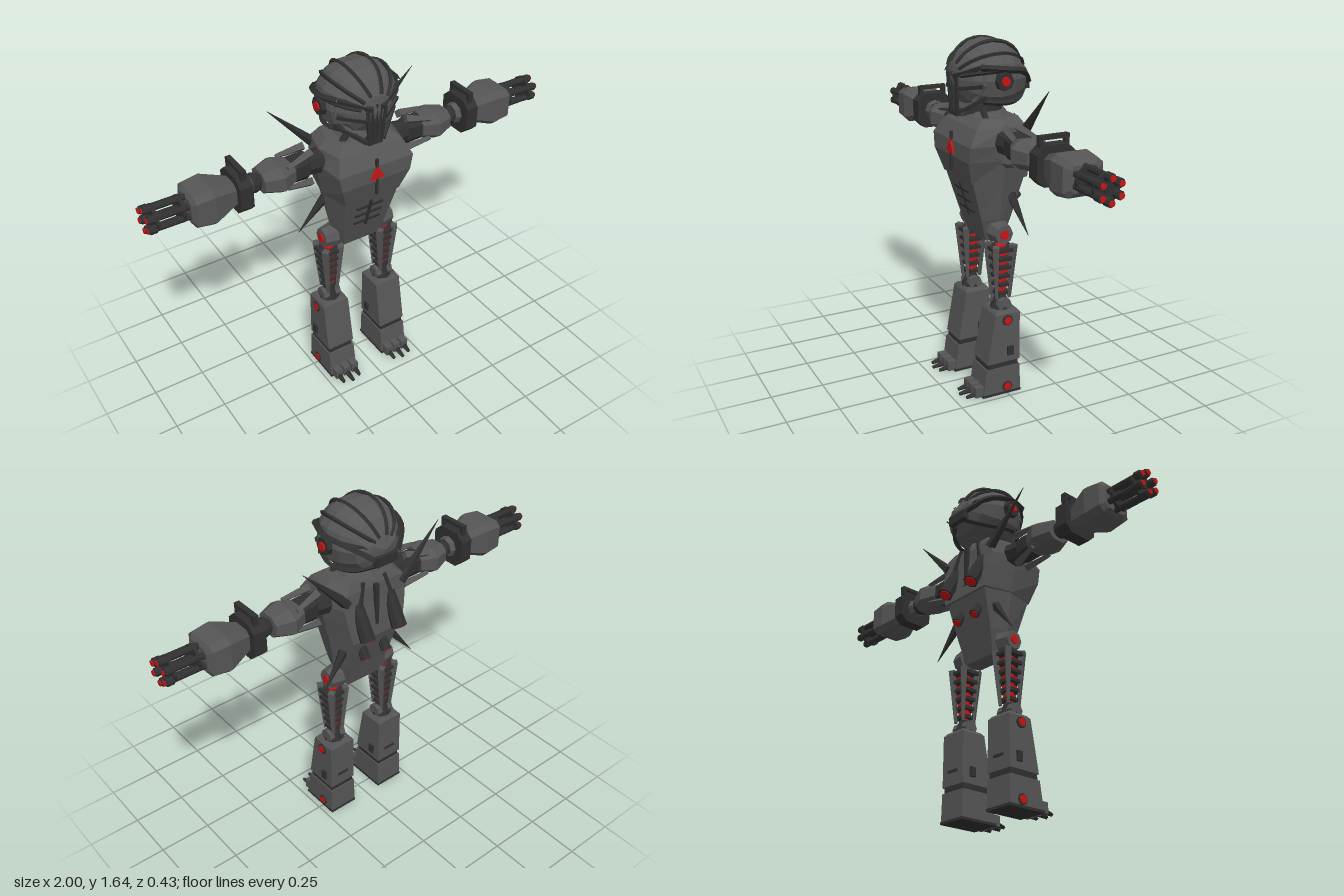
import * as THREE from 'three';

const mat = (color) => new THREE.MeshStandardMaterial({ color, flatShading: true });
const V = (x, y, z) => new THREE.Vector3(x, y, z);

export function createModel() {
  const root = new THREE.Group();
  const body = mat(0x555555), trim = mat(0x303030), red = mat(0xc81414);

  const add = (parent, name, geo, material, x = 0, y = 0, z = 0) => {
    const m = new THREE.Mesh(geo, material);
    m.name = name;
    m.position.set(x, y, z);
    parent.add(m);
    return m;
  };
  const group = (name, parent = root) => {
    const g = new THREE.Group();
    g.name = name;
    parent.add(g);
    return g;
  };
  const box = (p, name, m, w, h, d, x, y, z) => add(p, name, new THREE.BoxGeometry(w, h, d), m, x, y, z);
  const cyl = (p, name, m, r0, r1, h, n, x, y, z) => add(p, name, new THREE.CylinderGeometry(r1, r0, h, n), m, x, y, z);
  // tapered rod from a to b
  const rod = (p, name, m, a, b, r0, r1, n = 6) => {
    const d = b.clone().sub(a);
    const mid = a.clone().add(b).multiplyScalar(0.5);
    const mesh = cyl(p, name, m, r0, r1, d.length(), n, mid.x, mid.y, mid.z);
    mesh.quaternion.setFromUnitVectors(V(0, 1, 0), d.normalize());
    return mesh;
  };
  // rings run counterclockwise seen from above, listed bottom to top
  const loft = (rings) => {
    const n = rings[0].length, pos = [];
    const tri = (...ps) => ps.forEach((p) => pos.push(p.x, p.y, p.z));
    for (let k = 0; k + 1 < rings.length; k++) {
      for (let i = 0; i < n; i++) {
        const j = (i + 1) % n, lo = rings[k], hi = rings[k + 1];
        tri(lo[i], lo[j], hi[j]);
        tri(lo[i], hi[j], hi[i]);
      }
    }
    const bot = rings[0], top = rings[rings.length - 1];
    for (let i = 1; i + 1 < n; i++) {
      tri(top[0], top[i], top[i + 1]);
      tri(bot[0], bot[i + 1], bot[i]);
    }
    const g = new THREE.BufferGeometry();
    g.setAttribute('position', new THREE.Float32BufferAttribute(pos, 3));
    g.computeVertexNormals();
    return g;
  };
  // six-sided section: front width, side width, back width, front z, back z
  const hexRing = ([y, f, s, b, zf, zb]) =>
    [V(f, y, zf), V(s, y, 0), V(b, y, zb), V(-b, y, zb), V(-s, y, 0), V(-f, y, zf)];
  const rectRing = ([y, w, zf, zb]) => [V(w, y, zf), V(w, y, zb), V(-w, y, zb), V(-w, y, zf)];
  // octagonal section with chamfered corners
  const octRing = ([y, w, d, c = 0.5]) =>
    [[c, 1], [1, c], [1, -c], [c, -1], [-c, -1], [-1, -c], [-1, c], [-c, 1]].map(([a, b]) => V(a * w, y, b * d));

  // Torso
  const torso = group('torso');
  add(torso, 'abdomen', loft([[0.73, 0.09, 0.11, 0.09, 0.045, -0.045], [0.84, 0.115, 0.14, 0.11, 0.08, -0.075],
    [1.03, 0.14, 0.17, 0.13, 0.135, -0.13]].map(hexRing)), body);
  add(torso, 'chest', loft([[1.025, 0.14, 0.175, 0.14, 0.142, -0.14], [1.13, 0.175, 0.195, 0.16, 0.173, -0.13],
    [1.2, 0.19, 0.205, 0.17, 0.17, -0.12], [1.27, 0.16, 0.19, 0.16, 0.125, -0.115],
    [1.305, 0.12, 0.15, 0.12, 0.08, -0.1]].map(hexRing)), body);
  box(torso, 'chestSeam', trim, 0.012, 0.18, 0.012, 0, 1.15, 0.171);
  const emblem = cyl(torso, 'chestLight', red, 0.042, 0.042, 0.02, 3, 0, 1.165, 0.17);
  emblem.rotation.set(-Math.PI / 2, 0, 0);
  const grille = group('bellyGrille', torso);
  grille.position.set(0, 0.92, 0.105);
  grille.rotation.x = 0.28;
  box(grille, 'grilleSpine', trim, 0.012, 0.17, 0.012, 0, 0, 0);
  [-0.05, 0, 0.05].forEach((y) => box(grille, 'grilleBar', trim, 0.14, 0.011, 0.012, 0, y, 0));
  box(torso, 'backSeam', trim, 0.02, 0.24, 0.02, 0, 1.16, -0.125);
  cyl(torso, 'neck', trim, 0.08, 0.07, 0.1, 10, 0, 1.32, 0);
  cyl(torso, 'collar', body, 0.11, 0.09, 0.03, 10, 0, 1.31, 0);

  for (const s of [1, -1]) {
    // Back exhausts and spikes
    const exhaust = (x, a, b, r) => {
      rod(torso, 'exhaust', trim, V(s * x, ...a), V(s * x, ...b), r * 0.8, r, 8);
      const end = V(s * x, ...b), dir = end.clone().sub(V(s * x, ...a)).normalize();
      rod(torso, 'exhaustGlow', red, end, end.clone().addScaledVector(dir, 0.004), r * 0.75, r * 0.75, 8);
    };
    exhaust(0.09, [1.2, -0.1], [1.05, -0.18], 0.036);
    exhaust(0.06, [0.985, -0.085], [0.91, -0.13], 0.025);
    rod(torso, 'upperSpike', trim, V(s * 0.15, 1.23, -0.11), V(s * 0.37, 1.455, -0.105), 0.026, 0.001, 5);
    rod(torso, 'lowerSpike', trim, V(s * 0.13, 0.95, -0.06), V(s * 0.26, 0.79, -0.08), 0.024, 0.001, 5);
    rod(torso, 'backPanel', trim, V(s * 0.06, 1.3, -0.105), V(s * 0.1, 1.16, -0.13), 0.012, 0.012, 4);
  }

  // Head: faceted dome with its poles at front and back
  const head = group('head');
  head.position.set(0, 1.475, 0);
  const dome = new THREE.SphereGeometry(1, 14, 8);
  dome.rotateX(Math.PI / 2);
  dome.scale(0.178, 0.167, 0.17);
  const dp = dome.attributes.position;
  for (let i = 0; i < dp.count; i++) {
    const y = dp.getY(i);
    if (y < -0.1) dp.setY(i, -0.1 + (y + 0.1) * 0.6);
    if (y < 0.03 && dp.getZ(i) < -0.1) dp.setZ(i, dp.getZ(i) - 0.015);
  }
  add(head, 'dome', dome, body);
  for (const a of [-75, -48, -20, 20, 48, 75]) {
    const phi = THREE.MathUtils.degToRad(a), pts = [];
    for (let k = 0; k <= 8; k++) {
      const t = 0.42 + k * 0.3;
      pts.push(V(0.181 * Math.sin(phi) * Math.sin(t), 0.168 * Math.cos(phi) * Math.sin(t), 0.172 * Math.cos(t)));
    }
    add(head, 'domeRib', new THREE.TubeGeometry(new THREE.CatmullRomCurve3(pts), 12, 0.009, 4), trim);
  }
  // Face mask
  const mask = new THREE.Shape([[-0.15, 0.05], [-0.155, -0.02], [-0.1, -0.11], [-0.04, -0.16], [0.04, -0.16],
    [0.1, -0.11], [0.155, -0.02], [0.15, 0.05], [0.05, 0.02], [-0.05, 0.02]].map((p) => new THREE.Vector2(...p)));
  const maskGeo = new THREE.ExtrudeGeometry(mask, { depth: 0.09, bevelEnabled: false });
  const mp = maskGeo.attributes.position;
  for (let i = 0; i < mp.count; i++) mp.setZ(i, mp.getZ(i) + 0.07 - Math.abs(mp.getX(i)) * 0.5);
  add(head, 'faceMask', maskGeo, body);
  for (let i = -2; i <= 2; i++) {
    rod(head, 'mouthBar', trim, V(i * 0.022, 0.03 - Math.abs(i) * 0.012, 0.16), V(i * 0.015, -0.155, 0.155), 0.011, 0.008, 4);
  }
  box(head, 'chin', trim, 0.07, 0.03, 0.05, 0, -0.15, 0.135);
  for (const s of [1, -1]) {
    const eye = box(head, 'eye', red, 0.045, 0.022, 0.02, s * 0.07, 0.003, 0.133);
    eye.rotation.set(0, s * 0.45, s * 0.3);
    rod(head, 'brow', trim, V(s * 0.025, 0.012, 0.168), V(s * 0.15, 0.06, 0.1), 0.014, 0.012, 4);
    rod(head, 'cheekBar', trim, V(s * 0.045, -0.04, 0.162), V(s * 0.15, -0.02, 0.09), 0.012, 0.012, 4);
    rod(head, 'jawBar', trim, V(s * 0.04, -0.15, 0.155), V(s * 0.15, -0.07, 0.07), 0.012, 0.012, 4);
    const band = [[0.15, 0.06, 0.1], [0.18, 0.05, 0], [0.145, 0.03, -0.11], [0.06, -0.03, -0.185]];
    const curve = new THREE.CatmullRomCurve3(band.map(([x, y, z]) => V(s * x, y, z)));
    add(head, 'sideBand', new THREE.TubeGeometry(curve, 10, 0.015, 4), trim);
    const low = [[0.13, -0.09, 0.08], [0.15, -0.1, 0], [0.11, -0.1, -0.1], [0.04, -0.07, -0.17]];
    const lowCurve = new THREE.CatmullRomCurve3(low.map(([x, y, z]) => V(s * x, y, z)));
    add(head, 'lowerBand', new THREE.TubeGeometry(lowCurve, 10, 0.012, 4), trim);
    rod(head, 'earDisc', trim, V(s * 0.15, 0, 0), V(s * 0.19, 0, 0), 0.045, 0.04, 8);
    rod(head, 'earLight', red, V(s * 0.18, 0, 0), V(s * 0.197, 0, 0), 0.024, 0.02, 8);
    rod(head, 'neckCable', trim, V(s * 0.05, -0.11, 0.05), V(s * 0.11, -0.19, 0.05), 0.016, 0.016, 6);
  }
  box(head, 'rearClasp', trim, 0.11, 0.045, 0.03, 0, -0.045, -0.18);

  // Arms: built along local y, which points outward
  for (const s of [1, -1]) {
    const mount = group(s > 0 ? 'leftArm' : 'rightArm');
    mount.position.set(0, 1.21, 0);
    mount.rotation.y = s > 0 ? 0 : Math.PI;
    const arm = group('armParts', mount);
    arm.rotation.z = -Math.PI / 2;
    cyl(arm, 'shoulderJoint', trim, 0.06, 0.05, 0.08, 8, 0, 0.215, 0);
    add(arm, 'shoulder', loft([[0.23, 0.035, 0.035], [0.26, 0.06, 0.045], [0.34, 0.055, 0.05]].map((r) => octRing(r))), trim);
    for (const [x, z] of [[1, 0.6], [1, -0.6], [-1, 0.6], [-1, -0.6]]) {
      rod(arm, 'shoulderFin', body, V(x * 0.075, 0.245, z * 0.05), V(x * 0.05, 0.37, z * 0.09), 0.022, 0.012, 4);
    }
    add(arm, 'upperArm', loft([[0.33, 0.05, 0.055], [0.4, 0.064, 0.09], [0.48, 0.048, 0.06]].map((r) => octRing(r))), body);
    add(arm, 'elbow', new THREE.SphereGeometry(0.045, 10, 6), trim, 0, 0.51, 0);
    cyl(arm, 'elbowSleeve', body, 0.045, 0.06, 0.06, 8, 0, 0.555, 0);
    add(arm, 'forearmClamp', loft([[0.55, 0.085, 0.09, 0.6], [0.61, 0.085, 0.09, 0.6]].map(octRing)), trim);
    for (const z of [-0.06, 0.06]) box(arm, 'handlePost', trim, 0.04, 0.025, 0.018, -0.095, 0.58, z);
    box(arm, 'handleBar', trim, 0.018, 0.025, 0.14, -0.113, 0.58, 0);
    add(arm, 'forearm', loft([[0.6, 0.05, 0.055, 0.6], [0.72, 0.086, 0.095, 0.7], [0.8, 0.075, 0.09, 0.7],
      [0.815, 0.055, 0.065, 0.7]].map(octRing)), body);
    // Rotary barrels
    cyl(arm, 'barrelShaft', trim, 0.018, 0.018, 0.17, 8, 0, 0.885, 0);
    for (const y of [0.84, 0.955]) cyl(arm, 'barrelPlate', trim, 0.06, 0.06, 0.014, 12, 0, y, 0);
    for (let i = 0; i < 6; i++) {
      const a = i * Math.PI / 3, x = 0.048 * Math.cos(a), z = 0.048 * Math.sin(a);
      cyl(arm, 'barrel', trim, 0.014, 0.014, 0.2, 8, x, 0.896, z);
      cyl(arm, 'muzzle', trim, 0.019, 0.019, 0.03, 8, x, 0.975, z);
      cyl(arm, 'muzzleGlow', red, 0.013, 0.013, 0.012, 8, x, 0.994, z);
    }
  }

  // Legs
  for (const s of [1, -1]) {
    const leg = group(s > 0 ? 'leftLeg' : 'rightLeg');
    leg.position.x = s * 0.15;
    add(leg, 'hipBall', new THREE.SphereGeometry(0.045, 8, 6), trim, -s * 0.01, 0.78, 0);
    rod(leg, 'hipDisc', body, V(-s * 0.03, 0.78, 0), V(s * 0.035, 0.78, 0), 0.058, 0.045, 8);
    rod(leg, 'hipLight', red, V(0, 0.78, 0), V(s * 0.041, 0.78, 0), 0.025, 0.022, 8);
    cyl(leg, 'thighCore', red, 0.02, 0.026, 0.25, 8, 0, 0.6, 0);
    for (const x of [-1, 1]) for (const z of [-1, 1]) {
      rod(leg, 'thighStrut', body, V(x * 0.04, 0.73, z * 0.044), V(x * 0.025, 0.47, z * 0.032), 0.021, 0.009, 4);
    }
    for (let i = 0; i < 6; i++) {
      const k = 1 - i * 0.08, y = 0.71 - i * 0.043;
      box(leg, 'thighRib', trim, 0.115 * k, 0.016, 0.07 * k, 0, y, 0);
      box(leg, 'thighRibCross', trim, 0.05 * k, 0.016, 0.11 * k, 0, y, 0);
      if (i > 0) box(leg, 'thighGlow', red, 0.062 * k, 0.013, 0.075 * k, 0, y + 0.02, 0);
    }
    cyl(leg, 'kneeCap', trim, 0.055, 0.025, 0.07, 8, 0, 0.445, 0);
    rod(leg, 'kneePin', body, V(-0.045, 0.44, 0), V(0.045, 0.44, 0), 0.035, 0.035, 8);

    add(leg, 'shin', loft([[0.165, 0.07, 0.102, -0.066], [0.405, 0.068, 0.06, -0.066],
      [0.42, 0.055, 0.05, -0.055]].map(rectRing)), body);
    add(leg, 'ankle', loft([[0.13, 0.064, 0.1, -0.06], [0.17, 0.064, 0.095, -0.06]].map(rectRing)), trim);
    add(leg, 'boot', loft([[0.005, 0.072, 0.125, -0.07], [0.138, 0.07, 0.106, -0.067]].map(rectRing)), body);
    box(leg, 'sole', trim, 0.148, 0.012, 0.2, 0, 0.006, 0.028);
    for (const y of [0.375, 0.037]) {
      rod(leg, 'legLightRim', trim, V(s * 0.06, y, 0), V(s * 0.076, y, 0), 0.028, 0.026, 8);
      rod(leg, 'legLight', red, V(s * 0.06, y, 0), V(s * 0.08, y, 0), 0.02, 0.019, 8);
    }
    for (const x of [-1, 1]) box(leg, 'shinLatch', trim, 0.014, 0.045, 0.03, x * 0.073, 0.22, -0.015);
    box(leg, 'calfSlot', trim, 0.06, 0.012, 0.01, 0, 0.23, -0.066);
    // Toes
    for (const x of [-0.045, 0, 0.045]) {
      box(leg, 'toeKnuckle', body, 0.036, 0.05, 0.05, x, 0.03, 0.135);
      rod(leg, 'toeClaw', trim, V(x, 0.022, 0.14), V(x, 0.012, x ? 0.2 : 0.215), 0.017, 0.009, 4);
    }
  }
  return root;
}
